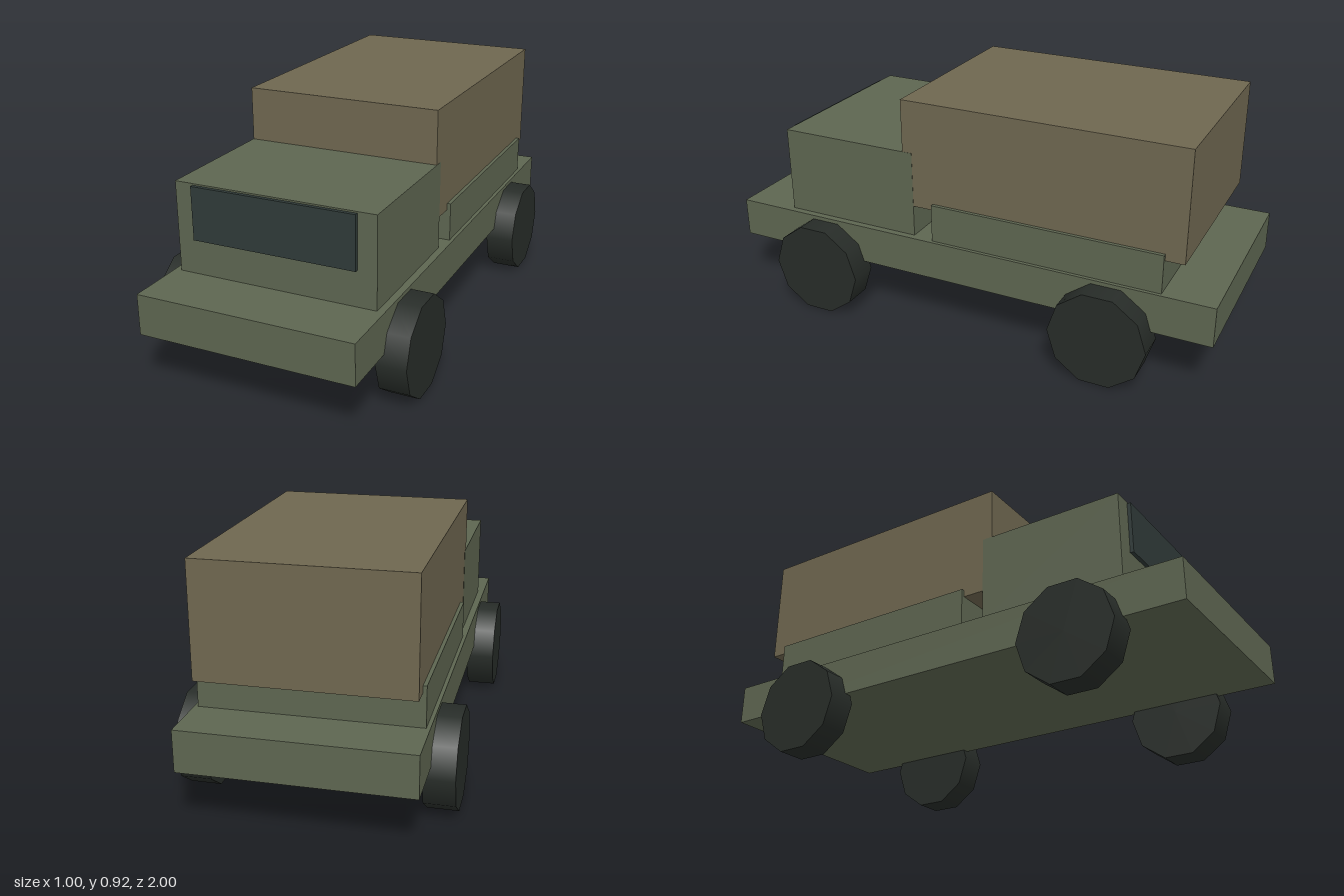
import * as THREE from 'three';

const paint = (color) => new THREE.MeshStandardMaterial({ color });

export function createModel() {
  const truck = new THREE.Group();
  truck.name = 'truck';
  const green = paint(0x5d6550);
  const canvas = paint(0x6e664f);
  const glass = paint(0x2f3a38);
  const rubber = paint(0x272c28);

  // Box given by half width and its y and z ranges
  const addBox = (name, material, halfWidth, y0, y1, z0, z1) => {
    const mesh = new THREE.Mesh(new THREE.BoxGeometry(halfWidth * 2, y1 - y0, z1 - z0), material);
    mesh.position.set(0, (y0 + y1) / 2, (z0 + z1) / 2);
    mesh.name = name;
    truck.add(mesh);
  };

  // Body
  addBox('chassis', green, 0.413, 0.218, 0.373, -1, 1);
  addBox('cab', green, 0.386, 0.373, 0.716, 0.2, 0.772);
  addBox('windshield', glass, 0.315, 0.508, 0.71, 0.76, 0.786);
  addBox('cargoBed', green, 0.399, 0.373, 0.523, -0.8, 0.115);
  addBox('canopy', canvas, 0.385, 0.497, 0.923, -0.872, 0.24);

  // Ten-sided wheels, resting on a flat side
  const radius = 0.188;
  const wheelGeometry = new THREE.CylinderGeometry(radius, radius, 0.115, 10);
  wheelGeometry.rotateZ(Math.PI / 2);
  for (const [sideName, side] of [['Left', 1], ['Right', -1]]) {
    for (const [endName, end] of [['front', 1], ['rear', -1]]) {
      const wheel = new THREE.Mesh(wheelGeometry, rubber);
      wheel.position.set(side * 0.4425, radius * Math.cos(Math.PI / 10), end * 0.6);
      wheel.name = `${endName}${sideName}Wheel`;
      truck.add(wheel);
    }
  }
  return truck;
}
